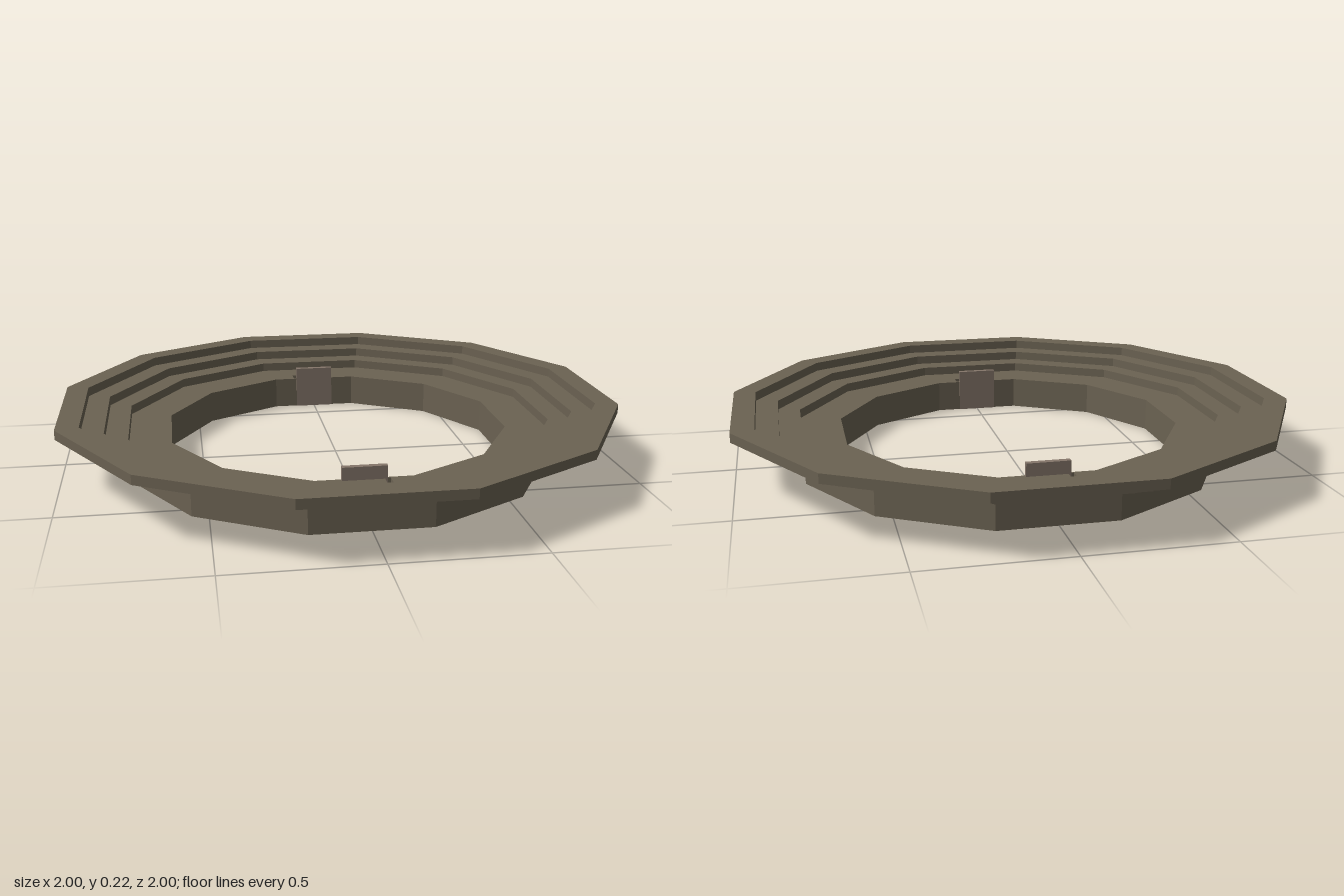
import * as THREE from 'three';

const SIDES = 12;
const stone = new THREE.MeshStandardMaterial({ color: 0x6b6252, flatShading: true });
const wood = new THREE.MeshStandardMaterial({ color: 0x85766a, flatShading: true });

// Corners of a regular 12-gon whose flat sides face the axes
function ringPoints(apothem) {
  const r = apothem / Math.cos(Math.PI / SIDES);
  return Array.from({ length: SIDES }, (_, i) => {
    const a = ((i + 0.5) * 2 * Math.PI) / SIDES;
    return new THREE.Vector2(r * Math.cos(a), r * Math.sin(a));
  });
}

function rectPath(x0, x1, y0, y1) {
  return new THREE.Path([
    new THREE.Vector2(x0, y0), new THREE.Vector2(x0, y1),
    new THREE.Vector2(x1, y1), new THREE.Vector2(x1, y0),
  ]);
}

// Flat 12-sided ring standing between two heights
function tier(name, inner, outer, y0, y1, holes = []) {
  const shape = new THREE.Shape(ringPoints(outer));
  shape.holes.push(new THREE.Path(ringPoints(inner).reverse()), ...holes);
  const geo = new THREE.ExtrudeGeometry(shape, { depth: y1 - y0, bevelEnabled: false });
  geo.rotateX(-Math.PI / 2).translate(0, y0, 0);
  const mesh = new THREE.Mesh(geo, stone);
  mesh.name = name;
  return mesh;
}

export function createModel() {
  const group = new THREE.Group();
  group.name = 'steppedArena';

  // Arena wall, with a narrow shaft beside each gate
  const shafts = [
    rectPath(0.066, 0.086, -0.662, -0.618),
    rectPath(-0.086, -0.066, 0.618, 0.662),
  ];
  group.add(tier('arenaWall', 0.61, 0.76, 0, 0.12, shafts));

  // Seating steps, each one further out and higher
  const rise = 0.1 / 3;
  for (let i = 0; i < 3; i++) {
    const inner = 0.76 + i * 0.08;
    const y = 0.12 + i * rise;
    group.add(tier(`seatingStep${i + 1}`, inner, inner + 0.08, y, y + rise));
  }

  // Two gates facing each other across the arena
  for (const [name, s] of [['frontGate', 1], ['backGate', -1]]) {
    const gate = new THREE.Mesh(new THREE.BoxGeometry(0.15, 0.165, 0.02), wood);
    gate.name = name;
    gate.position.set(0, 0.0825, s * 0.615);
    group.add(gate);
  }
  return group;
}
